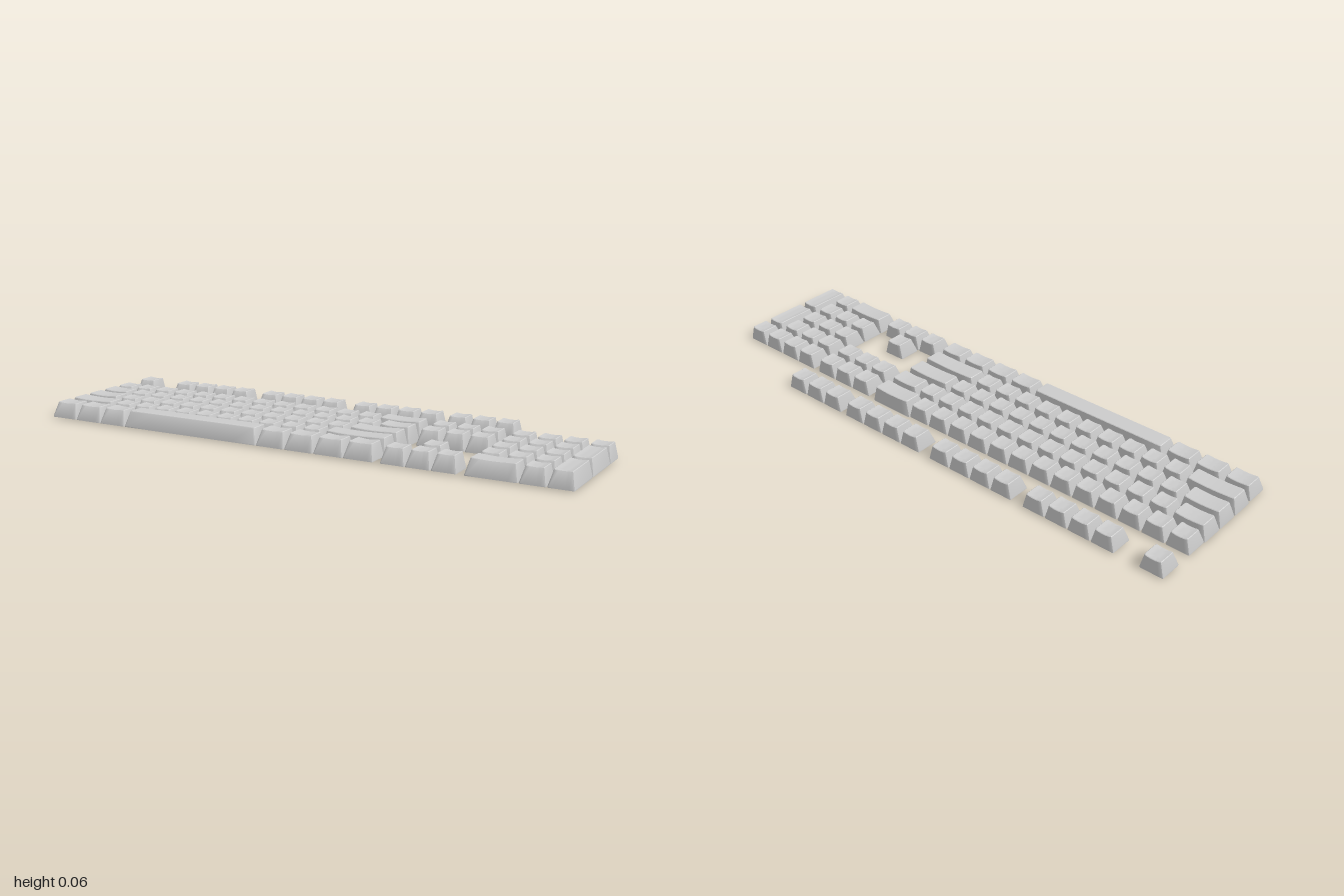
import * as THREE from 'three';
import { toCreasedNormals } from 'three/addons/utils/BufferGeometryUtils.js';

const U = 0.0891;      // key pitch
const GAP = 0.004;     // space between neighbouring keys
const TOP = 0.061;     // height of the key tops
const material = new THREE.MeshStandardMaterial({ color: 0xcccccc });

// Rounded rectangle, counter-clockwise from above; long edges are subdivided so they can curve
function ring(hx, hz, r, cz, height) {
  const pts = [];
  const add = (x, z) => pts.push([x, height(x, z), z + cz]);
  for (let q = 0; q < 4; q++) {
    const sx = q === 0 || q === 3 ? 1 : -1;
    const sz = q < 2 ? -1 : 1;
    for (let k = 0; k < 3; k++) {
      const a = (q + k / 2) * Math.PI / 2;
      add(sx * (hx - r) + r * Math.cos(a), sz * (hz - r) - r * Math.sin(a));
    }
    if (q % 2 === 0) {
      for (let k = 1; k < 6; k++) add(sx * (hx - r) * (1 - k / 3), sz * hz);
    }
  }
  return pts;
}

// Joins a sequence of rings into one surface
function loft(rings) {
  const n = rings[0].length;
  const index = [];
  for (let j = 0; j < rings.length - 1; j++) {
    for (let i = 0; i < n; i++) {
      const a = j * n + i, b = j * n + (i + 1) % n;
      index.push(a, b, b + n, a, b + n, a + n);
    }
  }
  const g = new THREE.BufferGeometry();
  g.setAttribute('position', new THREE.Float32BufferAttribute(rings.flat(2), 3));
  g.setIndex(index);
  return toCreasedNormals(g, 0.45);
}

// Hollow cap: sloped front and sides, upright back, dished top (or a domed one for the space bar)
function capGeometry(w, d, base, domed) {
  const hx = (w * U - GAP) / 2, hz = (d * U - GAP) / 2;
  const tx = hx - 0.012, tz = hz - 0.0095, shift = -0.0085;
  const wall = 0.006, ceiling = 0.047;
  const flat = y => () => y;
  const topY = domed
    ? (x, z) => TOP + 0.0015 * (1 - (z / tz) ** 2)
    : x => TOP - 0.004 * (1 - Math.min(1, (x / tx) ** 2));
  const inset = (ax, az, s, r, cz, f) => {
    const m = Math.min(ax, az) * (1 - s);
    return ring(ax - m, az - m, r * s, cz, f);
  };
  const ix = tx - wall + 0.003, iz = tz - wall + 0.003;
  return loft([
    inset(ix, iz, 0, 0.003, shift * 0.8, flat(ceiling)),
    ring(ix, iz, 0.003, shift * 0.8, flat(ceiling)),
    ring(hx - wall, hz - wall, 0.003, 0, flat(base)),
    ring(hx, hz, 0.004, 0, flat(base)),
    ring(hx, hz, 0.004, 0, flat(base + 0.003)),
    ring(tx, tz, 0.006, shift, (x, z) => topY(x, z) - 0.002),
    ring(tx - 0.002, tz - 0.002, 0.005, shift, topY),
    inset(tx - 0.002, tz - 0.002, 0.66, 0.005, shift, topY),
    inset(tx - 0.002, tz - 0.002, 0.33, 0.005, shift, topY),
    inset(tx - 0.002, tz - 0.002, 0, 0.005, shift, topY),
  ]);
}

// Round mounting stem with a cross-shaped socket
function stemGeometry() {
  const shape = new THREE.Shape().absarc(0, 0, 0.0125, 0, Math.PI * 2);
  const a = 0.009, b = 0.0028;
  const cross = [[a, b], [b, b], [b, a], [-b, a], [-b, b], [-a, b],
    [-a, -b], [-b, -b], [-b, -a], [b, -a], [b, -b], [a, -b]];
  shape.holes.push(new THREE.Path(cross.map(p => new THREE.Vector2(...p))));
  const g = new THREE.ExtrudeGeometry(shape, { depth: 0.04, bevelEnabled: false, curveSegments: 8 });
  g.rotateX(-Math.PI / 2);
  return toCreasedNormals(g, 0.8);
}

export function createModel() {
  const model = new THREE.Group();
  model.name = 'keycapSet';
  const stem = stemGeometry();
  const cache = {};

  // Places a key by its left column, row and size in key units
  function key(parent, name, col, row, w = 1, d = 1, base = 0.005) {
    const domed = w > 4;
    const id = [w, d, base].join();
    cache[id] ??= capGeometry(w, d, base, domed);
    const group = new THREE.Group();
    group.name = name;
    const cap = new THREE.Mesh(cache[id], material);
    cap.name = 'cap';
    const post = new THREE.Mesh(stem, material);
    post.name = 'stem';
    post.position.set(0, 0.008, -0.003);
    group.add(cap, post);
    group.position.set((col + w / 2 - 11.25) * U, 0, 0.2945 - (5 - row - d / 2) * U);
    parent.add(group);
  }

  // Lays out a run of keys side by side
  function run(parent, name, col, row, widths) {
    for (const w of widths) {
      const low = w >= 1.5 && row >= 0 && row < 4 && col < 15;
      key(parent, name, col, row, w, 1, low ? 0 : 0.005);
      col += w;
    }
  }

  const block = name => {
    const g = new THREE.Group();
    g.name = name;
    model.add(g);
    return g;
  };
  const ones = n => Array(n).fill(1);

  // Function row, set apart behind the rest
  const functionRow = block('functionRow');
  const F = -1.575;
  run(functionRow, 'escapeKey', 0, F, [1]);
  for (const col of [2, 6.5, 11]) run(functionRow, 'functionKey', col, F, ones(4));
  run(functionRow, 'systemKey', 15.25, F, ones(3));

  // Main typing block, back to front
  const main = block('mainBlock');
  run(main, 'numberRowKey', 0, 0, [...ones(13), 2]);
  run(main, 'upperRowKey', 0, 1, [1.5, ...ones(12), 1.5]);
  run(main, 'homeRowKey', 0, 2, [1.75, ...ones(11), 2.25]);
  run(main, 'lowerRowKey', 0, 3, [2.25, ...ones(10), 2.75]);
  run(main, 'modifierKey', 0, 4, [1.25, 1.25, 1.25]);
  run(main, 'spaceBar', 3.75, 4, [6.25]);
  run(main, 'modifierKey', 10, 4, [1.25, 1.25, 1.25, 1.25]);

  // Navigation and arrow keys
  const nav = block('navigationBlock');
  for (const row of [0, 1]) run(nav, 'navigationKey', 15.25, row, ones(3));
  run(nav, 'arrowKey', 16.25, 3, [1]);
  run(nav, 'arrowKey', 15.25, 4, ones(3));

  // Number pad with two double-height keys
  const pad = block('numberPad');
  run(pad, 'padKey', 18.5, 0, ones(4));
  for (const row of [1, 2, 3]) run(pad, 'padKey', 18.5, row, ones(3));
  run(pad, 'padKey', 18.5, 4, [2, 1]);
  for (const row of [1, 3]) key(pad, 'tallPadKey', 21.5, row, 1, 2);

  return model;
}
